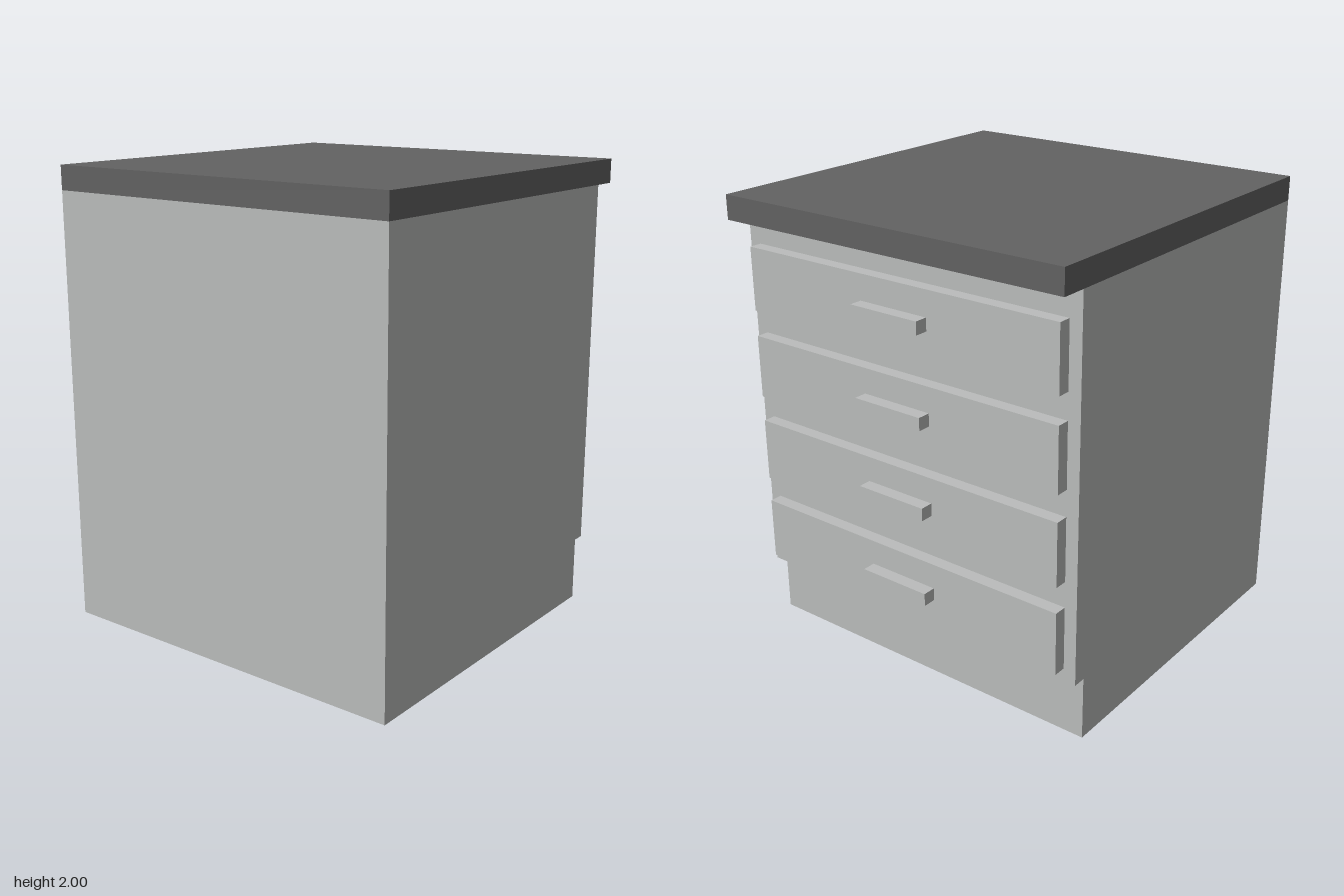
import * as THREE from 'three';

export function createModel() {
  const model = new THREE.Group();
  model.name = 'drawerCabinet';

  const cabinetGrey = new THREE.MeshStandardMaterial({ color: 0xbbbdbc });
  cabinetGrey.name = 'cabinetGrey';
  const worktopGrey = new THREE.MeshStandardMaterial({ color: 0x626262 });
  worktopGrey.name = 'worktopGrey';

  const half = 0.833;      // half of width and depth
  const topY = 1.895;      // underside of the worktop
  const faceZ = -0.72;     // face that carries the drawers

  function add(parent, name, geometry, material, x = 0, y = 0, z = 0) {
    const mesh = new THREE.Mesh(geometry, material);
    mesh.name = name;
    mesh.position.set(x, y, z);
    parent.add(mesh);
    return mesh;
  }

  // Carcass: side profile (z, y) with a toe-kick recess, extruded across x
  const profile = new THREE.Shape([
    [half, 0], [half, topY], [faceZ, topY], [faceZ, 0.28], [-0.663, 0.28], [-0.663, 0],
  ].map(([z, y]) => new THREE.Vector2(z, y)));
  const carcass = new THREE.ExtrudeGeometry(profile, { depth: half * 2, bevelEnabled: false });
  carcass.translate(0, 0, -half).rotateY(-Math.PI / 2);
  add(model, 'carcass', carcass, cabinetGrey);

  // Worktop slab, overhanging the drawers
  add(model, 'worktop', new THREE.BoxGeometry(half * 2, 2 - topY, half * 2), worktopGrey, 0, (2 + topY) / 2, 0);

  // Four drawers with bar handles
  const frontGeometry = new THREE.BoxGeometry(1.555, 0.276, 0.056);
  const handleGeometry = new THREE.BoxGeometry(0.333, 0.055, 0.057);
  for (let i = 0; i < 4; i++) {
    const drawer = new THREE.Group();
    drawer.name = `drawer${i + 1}`;
    drawer.position.set(0, 0.476 + i * 0.3885, faceZ);
    add(drawer, 'drawerFront', frontGeometry, cabinetGrey, 0, 0, -0.028);
    add(drawer, 'drawerHandle', handleGeometry, cabinetGrey, 0, 0, -0.0845);
    model.add(drawer);
  }

  return model;
}
